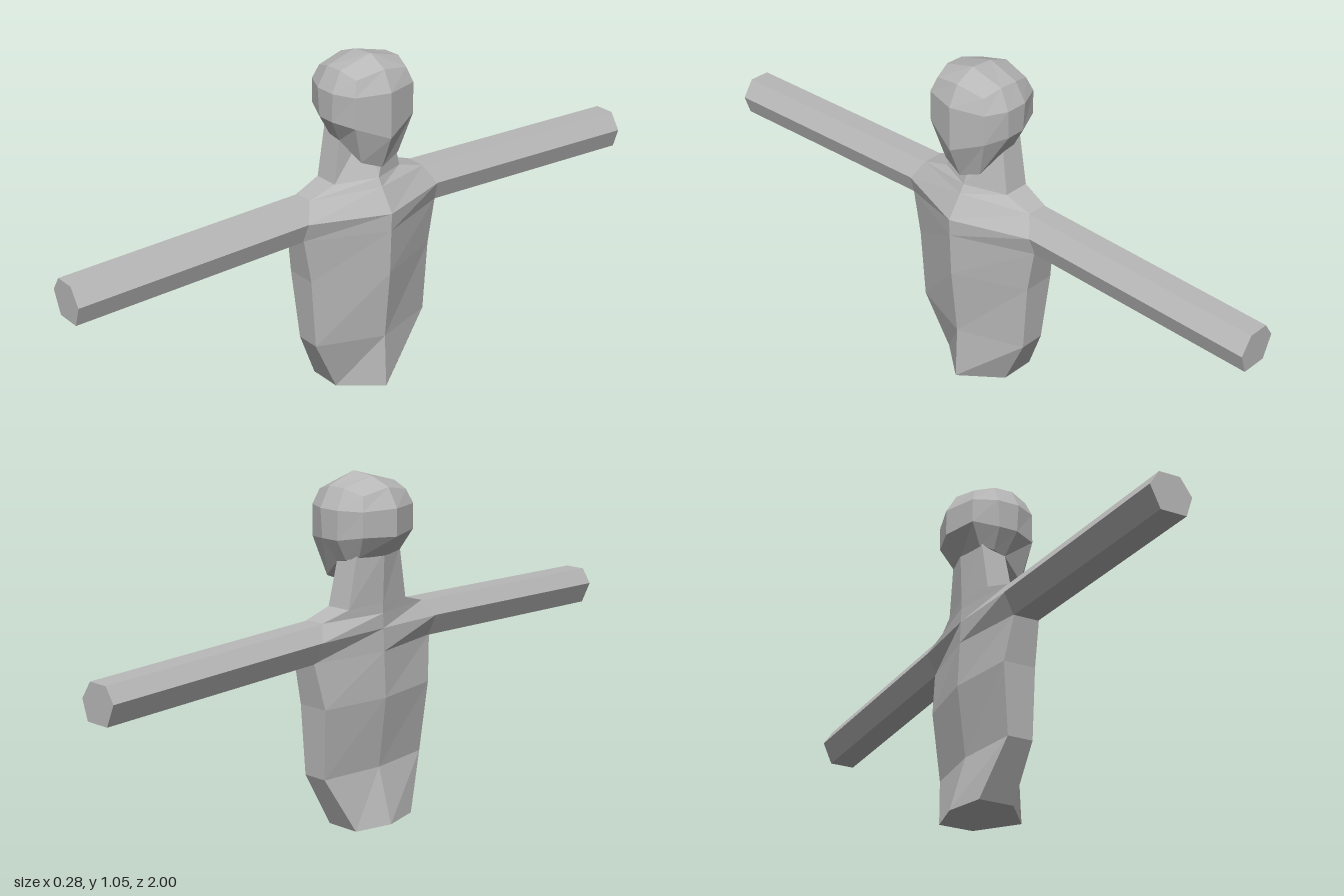
import * as THREE from 'three';

const grey = new THREE.MeshStandardMaterial({ color: 0xb8b8b8, flatShading: true });
grey.name = 'plain grey';

// Skin closed rings of points; each ring runs clockwise seen from the last ring's end.
function loft(name, rings, capped) {
  const pos = [];
  const tri = (a, b, c) => {
    const t = new THREE.Triangle(...[a, b, c].map(p => new THREE.Vector3(...p)));
    if (t.getArea() > 1e-7) pos.push(...a, ...b, ...c);
  };
  const n = rings[0].length;
  for (let i = 0; i + 1 < rings.length; i++) {
    for (let j = 0; j < n; j++) {
      const k = (j + 1) % n, lo = rings[i], hi = rings[i + 1];
      tri(lo[k], lo[j], hi[j]);
      tri(lo[k], hi[j], hi[k]);
    }
  }
  if (capped) {
    const mid = r => [0, 1, 2].map(c => r.reduce((s, p) => s + p[c], 0) / n);
    const first = rings[0], last = rings[rings.length - 1];
    for (let j = 0; j < n; j++) {
      const k = (j + 1) % n;
      tri(mid(first), first[j], first[k]);
      tri(mid(last), last[k], last[j]);
    }
  }
  const geo = new THREE.BufferGeometry();
  geo.setAttribute('position', new THREE.Float32BufferAttribute(pos, 3));
  geo.computeVertexNormals();
  const mesh = new THREE.Mesh(geo, grey);
  mesh.name = name;
  return mesh;
}

// Complete a half ring (chest centre to spine) by mirroring it in z.
const mirror = half => [...half, ...half.slice(1, -1).reverse().map(([x, y, z]) => [x, y, -z])];

export function createModel() {
  const model = new THREE.Group();
  model.name = 'bust';

  // Torso and neck: chest centre, front side, back side, spine
  const torso = [
    [[0.115, 0, 0], [0.02, 0, 0.12], [-0.09, 0, 0.12], [-0.12, 0, 0]],
    [[0.107, 0.17, 0], [0.035, 0.17, 0.205], [-0.045, 0.17, 0.205], [-0.07, 0.17, 0]],
    [[0.13, 0.39, 0], [0.037, 0.39, 0.22], [-0.065, 0.39, 0.22], [-0.097, 0.39, 0]],
    [[0.135, 0.53, 0], [0.037, 0.53, 0.245], [-0.045, 0.53, 0.245], [-0.09, 0.53, 0]],
    [[0.137, 0.585, 0], [0.055, 0.588, 0.24], [-0.075, 0.595, 0.24], [-0.087, 0.6, 0]],
    [[0.09, 0.655, 0], [0.02, 0.643, 0.21], [-0.045, 0.643, 0.21], [-0.085, 0.645, 0]],
    [[0.075, 0.68, 0], [0.02, 0.67, 0.12], [-0.062, 0.67, 0.12], [-0.085, 0.675, 0]],
    [[0.01, 0.81, 0], [0.008, 0.83, 0.09], [-0.066, 0.83, 0.09], [-0.09, 0.83, 0]],
  ];
  model.add(loft('torsoAndNeck', torso.map(mirror), true));

  // Head: face centre, face edge, two side points, back edge, back centre
  const chin = [0.045, 0.74, 0], nape = [-0.03, 0.81, 0];
  const crownFront = [0.035, 1.053, 0], crownBack = [-0.04, 1.045, 0];
  const head = [
    [chin, chin, chin, nape, nape, nape],
    [[0.09, 0.718, 0], [0.078, 0.745, 0.068], [0.01, 0.8, 0.095], [-0.03, 0.81, 0.1], [-0.07, 0.82, 0.085], [-0.088, 0.815, 0]],
    [[0.131, 0.82, 0], [0.1, 0.865, 0.105], [0.03, 0.872, 0.135], [-0.03, 0.872, 0.135], [-0.105, 0.885, 0.105], [-0.139, 0.88, 0]],
    [[0.131, 0.96, 0], [0.1, 0.96, 0.105], [0.035, 0.96, 0.137], [-0.035, 0.96, 0.137], [-0.105, 0.96, 0.105], [-0.139, 0.962, 0]],
    [[0.098, 1.022, 0], [0.085, 1.005, 0.09], [0.03, 1.022, 0.105], [-0.03, 1.02, 0.105], [-0.09, 1.002, 0.09], [-0.105, 1.02, 0]],
    [crownFront, crownFront, crownFront, crownBack, crownBack, crownBack],
  ];
  model.add(loft('head', head.map(mirror), false));

  // Straight six-sided arms, drooping slightly towards the ends
  const section = [[-0.045, 0.617], [0.02, 0.617], [0.055, 0.565], [0.035, 0.505], [-0.045, 0.505], [-0.075, 0.572]];
  for (const side of [1, -1]) {
    const outline = side > 0 ? section : [...section].reverse();
    const ring = (z, lift) => outline.map(([x, y]) => [x, y + lift, side * z]);
    model.add(loft(side > 0 ? 'rightArm' : 'leftArm', [ring(0.2, 0.025), ring(1, 0)], true));
  }
  return model;
}
